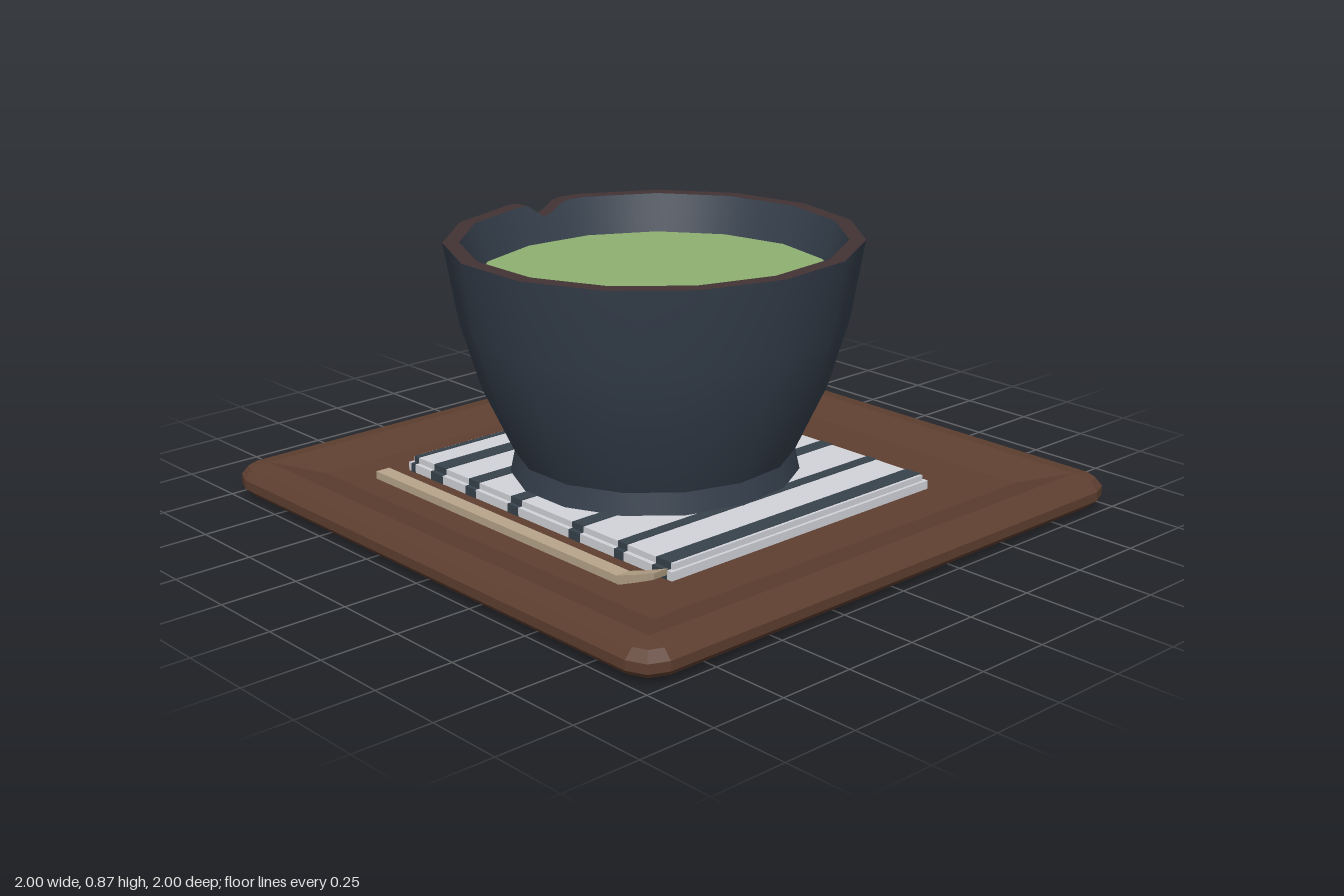
import * as THREE from 'three';

const material = (name, color) => {
  const m = new THREE.MeshStandardMaterial({ color });
  m.name = name;
  return m;
};

// Square rings with cut corners, joined from the underside to the tray floor
function trayGeometry() {
  // half width, height, corner cut
  const rings = [
    [0, 0, 0], [0.93, 0, 0.07], [0.975, 0.015, 0.08], [1, 0.04, 0.085], [1, 0.07, 0.085],
    [0.975, 0.1, 0.06], [0.91, 0.11, 0.005], [0.78, 0.075, 0.005], [0, 0.075, 0],
  ];
  const pos = [], index = [], n = 12;
  for (const [h, y, c] of rings) {
    for (let q = 0; q < 4; q++) {
      for (let [x, z] of [[h, h - c], [h - 0.3 * c, h - 0.3 * c], [h - c, h]]) {
        for (let k = 0; k < q; k++) [x, z] = [-z, x];
        pos.push(x, y, z);
      }
    }
  }
  for (let i = 0; i < rings.length - 1; i++) {
    for (let j = 0; j < n; j++) {
      const a = i * n + j, b = i * n + (j + 1) % n;
      index.push(a, a + n, b + n, a, b + n, b);
    }
  }
  const g = new THREE.BufferGeometry();
  g.setAttribute('position', new THREE.Float32BufferAttribute(pos, 3));
  g.setIndex(index);
  const flat = g.toNonIndexed();
  flat.computeVertexNormals();
  return flat;
}

// Fifteen-sided turned shape with smooth normals and a chip in the back of the rim
function turned(profile) {
  const g = new THREE.LatheGeometry(profile.map(([r, y]) => new THREE.Vector2(r, y)), 120, Math.PI / 2);
  const p = g.attributes.position, side = Math.PI * 2 / 15;
  for (let i = 0; i < p.count; i++) {
    let x = p.getX(i), y = p.getY(i), z = p.getZ(i);
    const angle = (Math.atan2(z, x) + Math.PI * 2) % side;
    const k = Math.cos(side / 2) / Math.cos(angle - side / 2);
    x *= k;
    z *= k;
    if (y > 0.8 && z < 0) y -= 0.05 * Math.max(0, 1 - Math.abs(x - 0.04) / 0.07);
    p.setXYZ(i, x, y, z);
  }
  return g;
}

export function createModel() {
  const model = new THREE.Group();
  model.name = 'teaBowlOnTray';
  const wood = material('dark wood', 0x5e3f30);
  const glaze = material('slate glaze', 0x353f4c);
  const rimBrown = material('rim brown', 0x433234);
  const green = material('tea green', 0x8fb072);
  const linen = material('linen white', 0xd2d4da);
  const stripe = material('stripe slate', 0x38424c);
  const bamboo = material('bamboo', 0xb8a58a);

  const add = (parent, name, geometry, mat, x = 0, y = 0, z = 0) => {
    const m = new THREE.Mesh(geometry, mat);
    m.name = name;
    m.position.set(x, y, z);
    parent.add(m);
    return m;
  };

  add(model, 'tray', trayGeometry(), wood);

  // Folded cloth with stripes wrapped over its top and sides
  const cloth = new THREE.Group();
  cloth.name = 'cloth';
  cloth.position.set(-0.015, 0, 0);
  model.add(cloth);
  add(cloth, 'clothLower', new THREE.BoxGeometry(1.1, 0.03, 1.25), linen, 0, 0.088, 0);
  add(cloth, 'clothUpper', new THREE.BoxGeometry(1.07, 0.022, 1.23), linen, 0, 0.111, 0);
  const stripes = [[0.575, 0.06], [0.4, 0.04], [0.2, 0.05], [-0.09, 0.05], [-0.3, 0.05], [-0.475, 0.06], [-0.6, 0.02]];
  for (const [z, w] of stripes) {
    add(cloth, 'stripeTop', new THREE.BoxGeometry(1.074, 0.024, w), stripe, 0, 0.112, z);
    add(cloth, 'stripeEdge', new THREE.BoxGeometry(1.104, 0.03, w), stripe, 0, 0.0885, z);
  }

  // Bowl
  const bowl = new THREE.Group();
  bowl.name = 'bowl';
  bowl.position.set(-0.032, 0, -0.028);
  bowl.scale.z = 0.968;
  model.add(bowl);
  add(bowl, 'foot', turned([[0.468, 0.12], [0.453, 0.19]]), glaze);
  add(bowl, 'outerWall', turned([[0.453, 0.19], [0.552, 0.4], [0.618, 0.62], [0.662, 0.872]]), glaze);
  add(bowl, 'rim', turned([[0.662, 0.872], [0.61, 0.872]]), rimBrown);
  add(bowl, 'innerWall', turned([[0.61, 0.872], [0.565, 0.74]]), glaze);
  add(bowl, 'tea', turned([[0.569, 0.75], [0, 0.75]]), green);

  // Scoop lying beside the cloth, its tip bent upward
  const profile = new THREE.Shape([
    [-0.63, 0.075], [0.54, 0.075], [0.62, 0.107], [0.685, 0.135],
    [0.69, 0.157], [0.61, 0.127], [0.53, 0.1], [-0.63, 0.1],
  ].map(([z, y]) => new THREE.Vector2(z, y)));
  const scoop = new THREE.ExtrudeGeometry(profile, { depth: 0.05, bevelEnabled: false });
  scoop.rotateY(-Math.PI / 2);
  add(model, 'scoop', scoop, bamboo, -0.64);

  return model;
}
